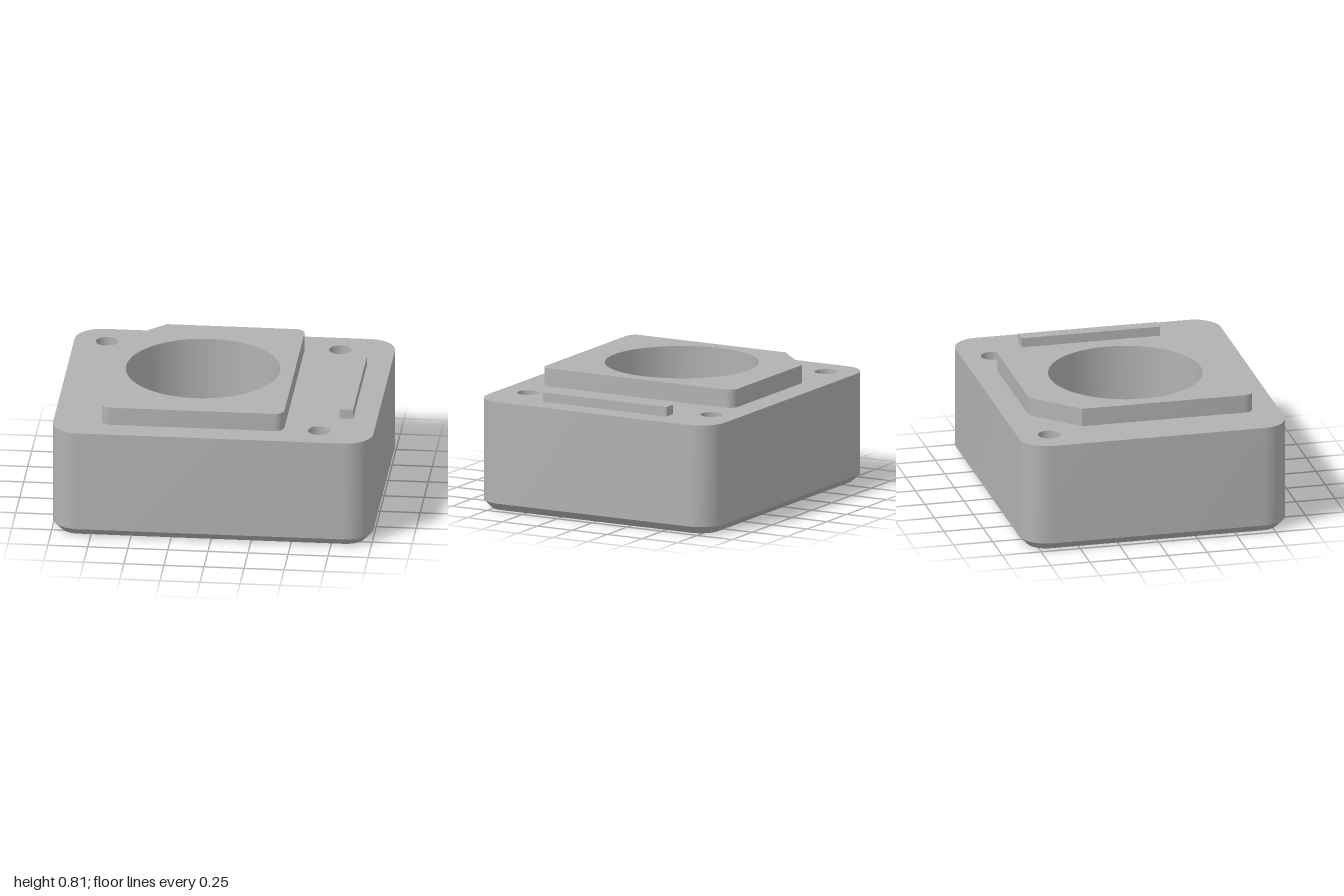
import * as THREE from 'three';
import { mergeGeometries, toCreasedNormals } from 'three/addons/utils/BufferGeometryUtils.js';

const V = (x, y) => new THREE.Vector2(x, y);

// Plan loops are counter-clockwise in (x, -z)
function arc(cx, cz, r, a0, a1, n) {
  return Array.from({ length: n + 1 }, (_, i) => {
    const a = a0 + (a1 - a0) * i / n;
    return V(cx + r * Math.cos(a), -cz + r * Math.sin(a));
  });
}
const circle = (cx, cz, r, n) => arc(cx, cz, r, 0, Math.PI * 2, n).slice(0, n);

// Rounded rectangle; a cut replaces the back -x corner with a straight diagonal
function outline(x0, x1, z0, z1, r, n, cut = 0) {
  const q = Math.PI / 2;
  return [
    ...arc(x1 - r, z1 - r, r, -q, 0, n),
    ...arc(x1 - r, z0 + r, r, 0, q, n),
    ...(cut ? [V(x0 + cut, -z0), V(x0, -z0 - cut)] : arc(x0 + r, z0 + r, r, q, 2 * q, n)),
    ...arc(x0 + r, z1 - r, r, 2 * q, 3 * q, n),
  ];
}

// Wall between two matching loops, facing outward or into a hole
function wall(low, y0, high, y1, inward = false) {
  const pos = [];
  low.forEach((a, i) => {
    const j = (i + 1) % low.length;
    const p = [a.x, y0, -a.y], q = [low[j].x, y0, -low[j].y];
    const s = [high[j].x, y1, -high[j].y], t = [high[i].x, y1, -high[i].y];
    pos.push(...(inward ? [p, s, q, p, t, s] : [p, q, s, p, s, t]).flat());
  });
  const g = new THREE.BufferGeometry();
  g.setAttribute('position', new THREE.Float32BufferAttribute(pos, 3));
  return toCreasedNormals(g, 0.5);
}

// Flat face with holes, facing up or down
function face(loop, holes, y, down = false) {
  const shape = new THREE.Shape(loop);
  shape.holes = holes.map(h => new THREE.Path(h));
  let g = new THREE.ShapeGeometry(shape);
  if (down) g.index.array.reverse();
  g = g.toNonIndexed();
  g.deleteAttribute('uv');
  g.rotateX(-Math.PI / 2).translate(0, y, 0);
  g.computeVertexNormals();
  return g;
}

export function createModel() {
  const group = new THREE.Group();
  const grey = new THREE.MeshStandardMaterial({ color: 0xb2b2b2 });
  grey.name = 'plain grey';
  const add = (name, parts) => {
    const mesh = new THREE.Mesh(mergeGeometries(parts), grey);
    mesh.name = name;
    group.add(mesh);
  };

  const top = 0.695, plateTop = 0.81, bevel = 0.05, sinkTop = 0.11;
  const outer = outline(-1, 1, -0.85, 0.845, 0.17, 12);
  const foot = outline(-1 + bevel, 1 - bevel, -0.85 + bevel, 0.845 - bevel, 0.17 - bevel, 12);
  const plate = outline(-0.7, 0.44, -0.69, 0.685, 0.06, 8, 0.275);
  const bore = circle(-0.13, 0, 0.48, 96);
  const boreMouth = circle(-0.13, 0, 0.533, 96);
  const spots = [[-0.795, -0.65], [0.66, -0.66], [0.66, 0.65]];
  const holes = spots.map(([x, z]) => circle(x, z, 0.07, 40));
  const sinks = spots.map(([x, z]) => circle(x, z, 0.148, 40));

  // Block with bevelled foot
  add('body', [
    wall(outer, bevel, outer, top),
    wall(foot, 0, outer, bevel),
    face(outer, [plate, ...holes], top),
    face(foot, [boreMouth, ...sinks], 0, true),
  ]);

  // Raised plate with one cut corner
  add('raisedPlate', [wall(plate, top, plate, plateTop), face(plate, [bore], plateTop)]);

  // Through bore with a flared lower mouth
  add('mainBore', [
    wall(boreMouth, 0, bore, bevel, true),
    wall(bore, bevel, bore, plateTop, true),
  ]);

  // Bolt holes, widened from below
  spots.forEach((_, i) => add('boltHole' + (i + 1), [
    wall(sinks[i], 0, sinks[i], sinkTop, true),
    face(sinks[i], [holes[i]], sinkTop, true),
    wall(holes[i], sinkTop, holes[i], top, true),
  ]));

  // Narrow bar on the top face
  const bar = new THREE.Mesh(new THREE.BoxGeometry(0.085, 0.06, 0.885), grey);
  bar.name = 'locatingBar';
  bar.position.set(0.8075, top + 0.03, -0.0025);
  group.add(bar);

  return group;
}
